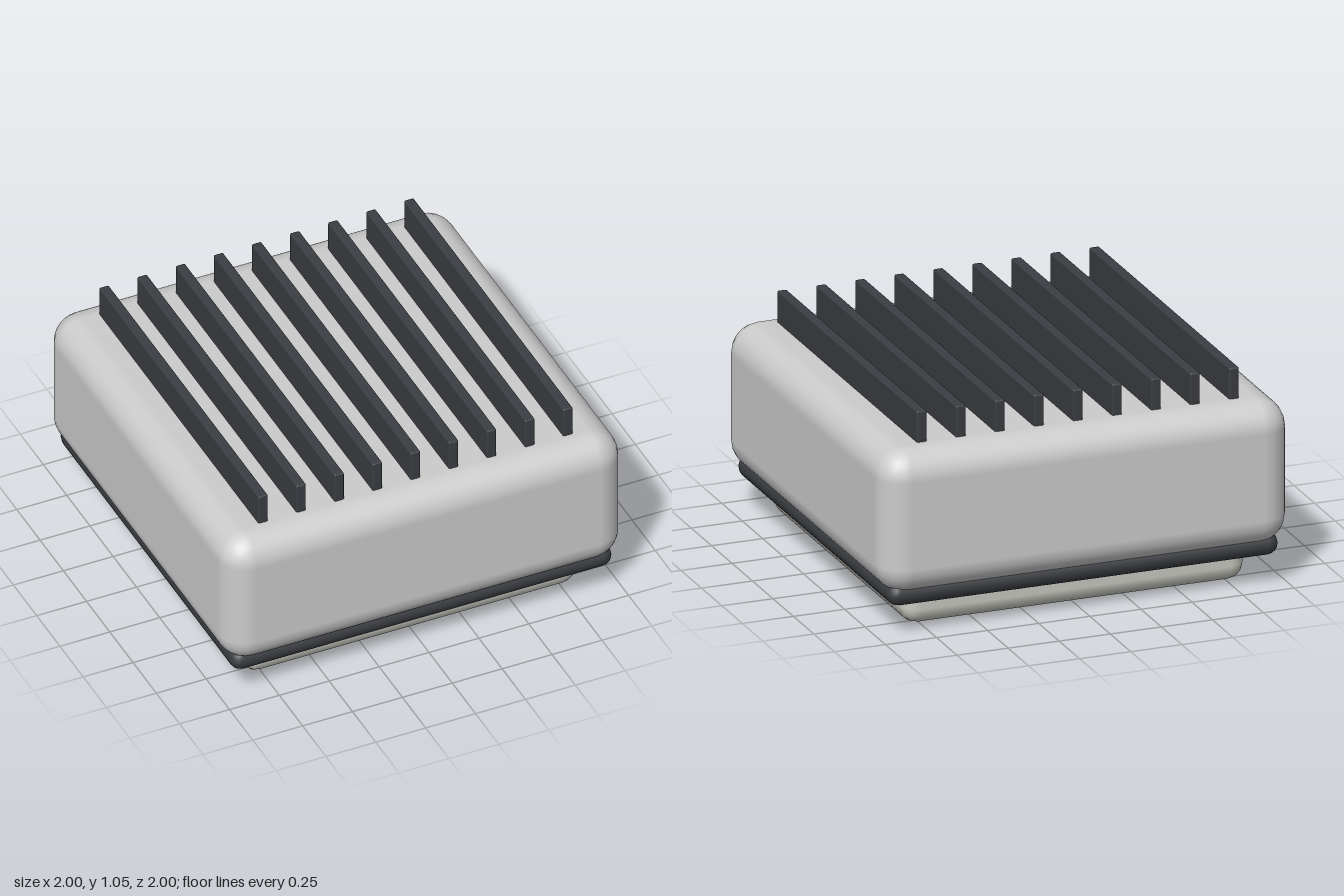
import * as THREE from 'three';
import { RoundedBoxGeometry } from 'three/addons/geometries/RoundedBoxGeometry.js';

const grey = new THREE.MeshStandardMaterial({ color: 0xcccccc });
const pale = new THREE.MeshStandardMaterial({ color: 0xc8c8c0 });
const dark = new THREE.MeshStandardMaterial({ color: 0x3a3d42 });

// Rounded block resting with its underside at height bottom
function block(name, material, width, bottom, top, depth, radius, segments) {
  const geometry = new RoundedBoxGeometry(width, top - bottom, depth, segments, radius);
  const mesh = new THREE.Mesh(geometry, material);
  mesh.name = name;
  mesh.position.y = (bottom + top) / 2;
  return mesh;
}

export function createModel() {
  const model = new THREE.Group();
  model.name = 'finnedModule';

  // Stacked housing: base plate, seal, main body
  model.add(block('basePlate', pale, 1.675, 0, 0.2, 1.675, 0.08, 2));
  model.add(block('seal', dark, 1.91, 0.145, 0.255, 1.91, 0.055, 2));
  model.add(block('body', grey, 2, 0.2, 0.9, 2, 0.14, 3));

  // Row of cooling fins running front to back
  const fins = new THREE.Group();
  fins.name = 'coolingFins';
  for (let i = -4; i <= 4; i++) {
    const fin = block('fin', dark, 0.048, 0.87, 1.05, 1.715, 0.008, 2);
    fin.position.x = i * 0.191;
    fins.add(fin);
  }
  model.add(fins);

  return model;
}
